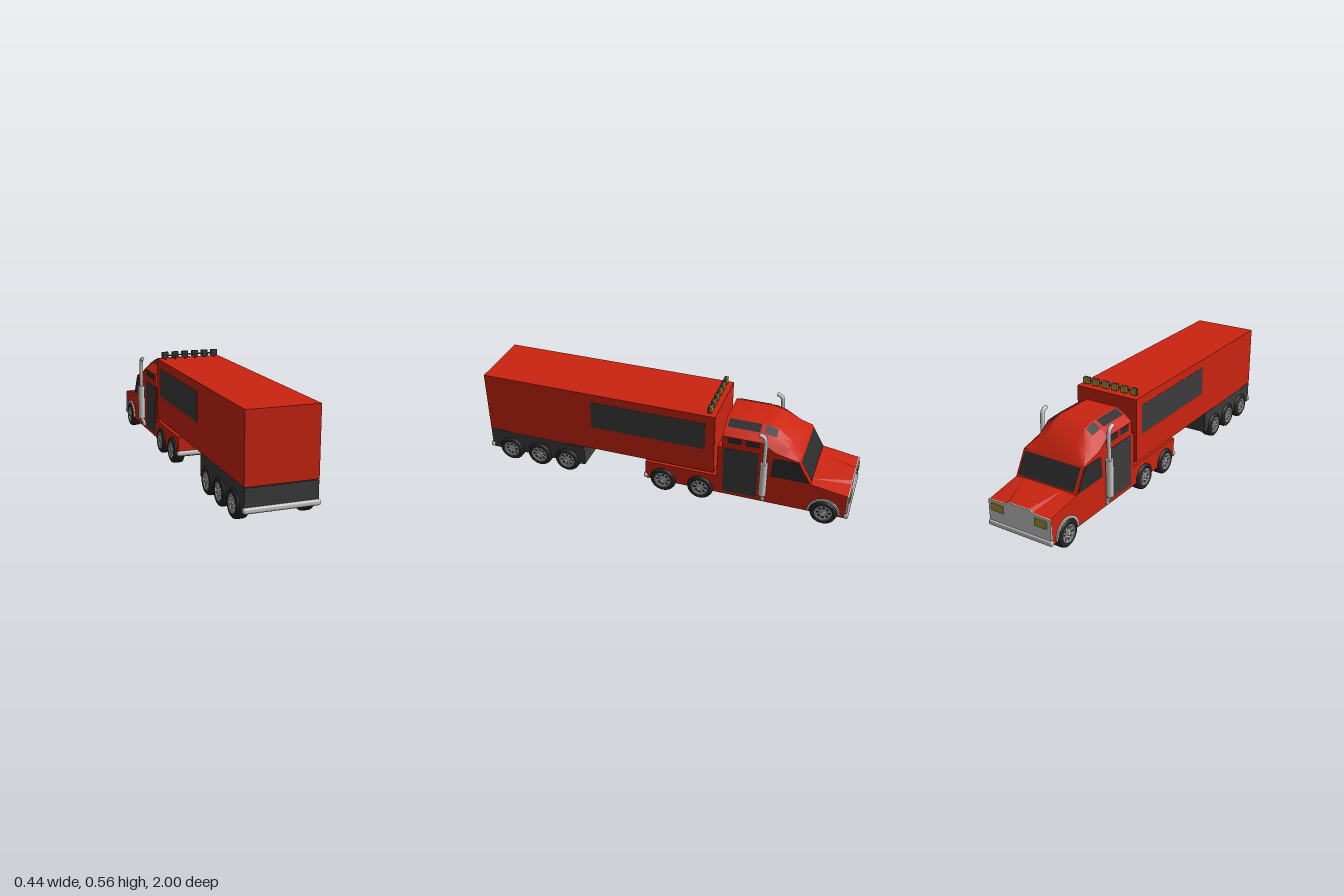
import * as THREE from 'three';
import { toCreasedNormals } from 'three/addons/utils/BufferGeometryUtils.js';
import { RoundedBoxGeometry } from 'three/addons/geometries/RoundedBoxGeometry.js';

const mat = (color, side = THREE.FrontSide) => {
  const m = new THREE.MeshStandardMaterial({ side });
  m.color.set(color);
  return m;
};
const red = mat(0xcc2410), dark = mat(0x3c3c3c), glass = mat(0x2c2c2c, THREE.DoubleSide);
const rubber = mat(0x242424), under = mat(0x2a2a2a), yellow = mat(0xa8973c);
const grey = mat(0xcccccc, THREE.DoubleSide);

function add(parent, name, geometry, material) {
  const mesh = new THREE.Mesh(geometry, material);
  mesh.name = name;
  parent.add(mesh);
  return mesh;
}

// Box given by its limits on each axis
function box(parent, name, material, [x0, x1], [y0, y1], [z0, z1], radius = 0) {
  const s = [x1 - x0, y1 - y0, z1 - z0];
  const g = radius ? new RoundedBoxGeometry(...s, 3, radius) : new THREE.BoxGeometry(...s);
  g.translate((x0 + x1) / 2, (y0 + y1) / 2, (z0 + z1) / 2);
  return add(parent, name, g, material);
}

// Thin plates on both flanks, outlined in (z, y), with outer face at |x| = x
function sidePlates(parent, name, material, shape, x, depth = 0.004) {
  for (const s of [1, -1]) {
    const g = new THREE.ExtrudeGeometry(shape, { depth, bevelEnabled: false, curveSegments: 24 });
    g.rotateY(-Math.PI / 2).translate(s > 0 ? x : depth - x, 0, 0);
    add(parent, name, g, material);
  }
}
const poly = (...pts) => new THREE.Shape(pts.map(p => new THREE.Vector2(...p)));
const rect = (z0, z1, y0, y1) => poly([z0, y0], [z1, y0], [z1, y1], [z0, y1]);

function quad(parent, name, material, pts) {
  const g = new THREE.BufferGeometry();
  g.setAttribute('position', new THREE.Float32BufferAttribute(pts.flat(), 3));
  g.setIndex([0, 1, 2, 0, 2, 3]);
  g.computeVertexNormals();
  add(parent, name, g, material);
}

// Cab hull: mirrored half sections joined from back to front
function cabGeometry() {
  const sections = [ // z, side height, shoulder x/y, roof edge x/y
    [-0.335, 0.42, 0.14, 0.45, 0.09, 0.478],
    [-0.54, 0.42, 0.14, 0.45, 0.09, 0.478],
    [-0.605, 0.375, 0.135, 0.432, 0.09, 0.461],
    [-0.67, 0.36, 0.14, 0.39, 0.09, 0.408],
    [-0.73, 0.345, 0.165, 0.348, 0.1, 0.35],
    [-0.797, 0.226, 0.13, 0.23, 0.1, 0.232],
    [-0.987, 0.195, 0.075, 0.2, 0.055, 0.212],
  ];
  const pos = [], idx = [], n = 8;
  for (const [z, ys, x1, y1, x2, y2] of sections) {
    const half = [[0.177, 0.06], [0.177, ys], [x1, y1], [x2, y2]];
    for (const [x, y] of half) pos.push(x, y, z);
    for (const [x, y] of half.reverse()) pos.push(-x, y, z);
  }
  const last = (sections.length - 1) * n;
  for (let a = 0; a < last; a += n) {
    for (let j = 0; j < n; j++) {
      const k = (j + 1) % n;
      idx.push(a + j, a + n + j, a + n + k, a + j, a + n + k, a + k);
    }
  }
  for (let j = 1; j < n - 1; j++) idx.push(0, j, j + 1, last, last + j + 1, last + j);
  const g = new THREE.BufferGeometry();
  g.setAttribute('position', new THREE.Float32BufferAttribute(pos, 3));
  g.setIndex(idx);
  return toCreasedNormals(g, 0.45);
}

// Wheel facing +x, centred on its axle
function makeWheel() {
  const wheel = new THREE.Group();
  wheel.name = 'wheel';
  const profile = [[0.01, -0.029], [0.06, -0.029], [0.067, -0.025], [0.07, -0.016], [0.07, 0.016],
    [0.067, 0.025], [0.06, 0.03], [0.046, 0.029], [0.044, 0.02], [0, 0.02]];
  const tyre = new THREE.LatheGeometry(profile.map(p => new THREE.Vector2(...p)), 32);
  add(wheel, 'tyre', tyre.rotateZ(-Math.PI / 2), rubber);
  const face = new THREE.Shape().absarc(0, 0, 0.045, 0, Math.PI * 2);
  for (let i = 0; i < 8; i++) {
    const a = i * Math.PI / 4, w = 0.24;
    const slot = new THREE.Path();
    slot.absarc(0, 0, 0.036, a - w, a + w, false);
    slot.absarc(0, 0, 0.02, a + w, a - w, true);
    face.holes.push(slot);
  }
  const rim = new THREE.ExtrudeGeometry(face, { depth: 0.006, bevelEnabled: false, curveSegments: 24 });
  add(wheel, 'rim', rim.rotateY(Math.PI / 2).translate(0.021, 0, 0), grey);
  const lip = new THREE.TorusGeometry(0.043, 0.003, 8, 32);
  add(wheel, 'rimLip', lip.rotateY(Math.PI / 2).translate(0.028, 0, 0), grey);
  const hub = new THREE.CylinderGeometry(0.01, 0.014, 0.012, 16);
  add(wheel, 'hub', hub.rotateZ(-Math.PI / 2).translate(0.026, 0, 0), grey);
  return wheel;
}

function addWheels(parent, stations) {
  for (const z of stations) for (const s of [1, -1]) {
    const w = makeWheel();
    w.position.set(s * 0.159, 0.07, z);
    if (s < 0) w.rotation.y = Math.PI;
    parent.add(w);
  }
}

function makeTrailer() {
  const t = new THREE.Group();
  t.name = 'trailer';
  box(t, 'cargoBox', red, [-0.178, 0.178], [0.18, 0.52], [-0.295, 0.988]);
  sidePlates(t, 'sidePanel', dark, rect(-0.245, 0.378, 0.318, 0.474), 0.179);
  box(t, 'suspensionPlate', red, [-0.176, 0.176], [0.174, 0.182], [0.53, 0.88]);
  box(t, 'bogie', dark, [-0.177, 0.177], [0.06, 0.176], [0.43, 0.988]);
  box(t, 'bogieFloor', under, [-0.176, 0.176], [0.058, 0.062], [0.431, 0.987]);
  box(t, 'rearBumper', grey, [-0.186, 0.186], [0.06, 0.088], [0.976, 1], 0.011);
  addWheels(t, [0.535, 0.7, 0.87]);
  // Roof lamps face the cab
  const bar = new THREE.CylinderGeometry(0.004, 0.004, 0.3, 8).rotateZ(Math.PI / 2);
  add(t, 'lampBar', bar.translate(0, 0.543, -0.252), dark);
  for (let i = 0; i < 6; i++) {
    const x = -0.1425 + i * 0.057;
    box(t, 'lampHousing', dark, [x - 0.0175, x + 0.0175], [0.527, 0.561], [-0.262, -0.25]);
    box(t, 'lampLens', yellow, [x - 0.0165, x + 0.0165], [0.528, 0.56], [-0.27, -0.262]);
    box(t, 'lampStem', dark, [x - 0.004, x + 0.004], [0.518, 0.543], [-0.256, -0.248]);
  }
  return t;
}

function makeTractor() {
  const t = new THREE.Group();
  t.name = 'tractor';
  add(t, 'cab', cabGeometry(), red);
  box(t, 'sleeperBack', red, [-0.176, 0.176], [0.06, 0.35], [-0.345, -0.312]);
  box(t, 'chassis', red, [-0.177, 0.177], [0.06, 0.165], [-0.34, 0.078]);
  box(t, 'couplingPlate', red, [-0.15, 0.15], [0.163, 0.181], [-0.285, 0.02]);
  box(t, 'floor', under, [-0.176, 0.176], [0.058, 0.062], [-0.985, 0.077]);
  box(t, 'chassisBumper', grey, [-0.186, 0.186], [0.062, 0.088], [0.066, 0.088], 0.01);

  // Doors and windows
  sidePlates(t, 'door', dark, rect(-0.525, -0.345, 0.078, 0.35), 0.179);
  for (const z of [-0.525, -0.435]) {
    sidePlates(t, 'sleeperWindow', glass, rect(z, z + 0.07, 0.385, 0.415), 0.179);
  }
  sidePlates(t, 'sideWindow', glass,
    poly([-0.59, 0.23], [-0.785, 0.23], [-0.724, 0.338], [-0.655, 0.342], [-0.6, 0.338]), 0.179);
  quad(t, 'windshield', glass, [[-0.163, 0.238, -0.797], [0.163, 0.238, -0.797],
    [0.163, 0.34, -0.739], [-0.163, 0.34, -0.739]]);
  for (const s of [1, -1]) {
    quad(t, 'roofWindow', glass, [[s * 0.138, 0.454, -0.35], [s * 0.138, 0.454, -0.517],
      [s * 0.095, 0.478, -0.517], [s * 0.095, 0.478, -0.35]]);
    quad(t, 'frontRoofWindow', glass, [[s * 0.136, 0.454, -0.54], [s * 0.133, 0.438, -0.6],
      [s * 0.095, 0.462, -0.6], [s * 0.095, 0.478, -0.54]]);
  }

  // Nose
  const grille = poly([-0.18, 0.08], [0.18, 0.08], [0.18, 0.195], [0.075, 0.2], [0.068, 0.212],
    [-0.068, 0.212], [-0.075, 0.2], [-0.18, 0.195]);
  const plate = new THREE.ExtrudeGeometry(grille, { depth: 0.008, bevelEnabled: false });
  add(t, 'grille', plate.translate(0, 0, -0.993), grey);
  box(t, 'frontBumper', grey, [-0.186, 0.186], [0.06, 0.088], [-1, -0.978], 0.008);
  for (const s of [1, -1]) {
    const x = s * 0.125;
    box(t, 'headlight', yellow, [x - 0.034, x + 0.034], [0.145, 0.184], [-0.999, -0.99]);
  }

  // Chrome trim over the front wheels
  const arch = new THREE.Shape();
  arch.absarc(-0.875, 0.07, 0.084, 0, Math.PI, false);
  arch.absarc(-0.875, 0.07, 0.073, Math.PI, 0, true);
  sidePlates(t, 'wheelArch', grey, arch, 0.185, 0.01);
  addWheels(t, [-0.02, -0.225, -0.875]);

  // Exhaust stacks
  for (const s of [1, -1]) {
    const path = new THREE.CatmullRomCurve3([[0.182, 0.075, -0.56], [0.186, 0.095, -0.56],
      [0.199, 0.122, -0.56], [0.198, 0.3, -0.56], [0.197, 0.44, -0.56], [0.197, 0.465, -0.555],
      [0.197, 0.478, -0.54], [0.197, 0.481, -0.527]].map(([x, y, z]) => new THREE.Vector3(s * x, y, z)));
    add(t, 'exhaustPipe', new THREE.TubeGeometry(path, 48, 0.0105, 12), grey);
    add(t, 'pipeEnd', new THREE.CircleGeometry(0.0105, 12).translate(s * 0.197, 0.481, -0.528), grey);
    const muffler = new THREE.CylinderGeometry(0.0195, 0.0195, 0.194, 16);
    add(t, 'muffler', muffler.translate(s * 0.199, 0.218, -0.56), grey);
  }
  return t;
}

export function createModel() {
  const truck = new THREE.Group();
  truck.name = 'truck';
  truck.add(makeTrailer(), makeTractor());
  return truck;
}
